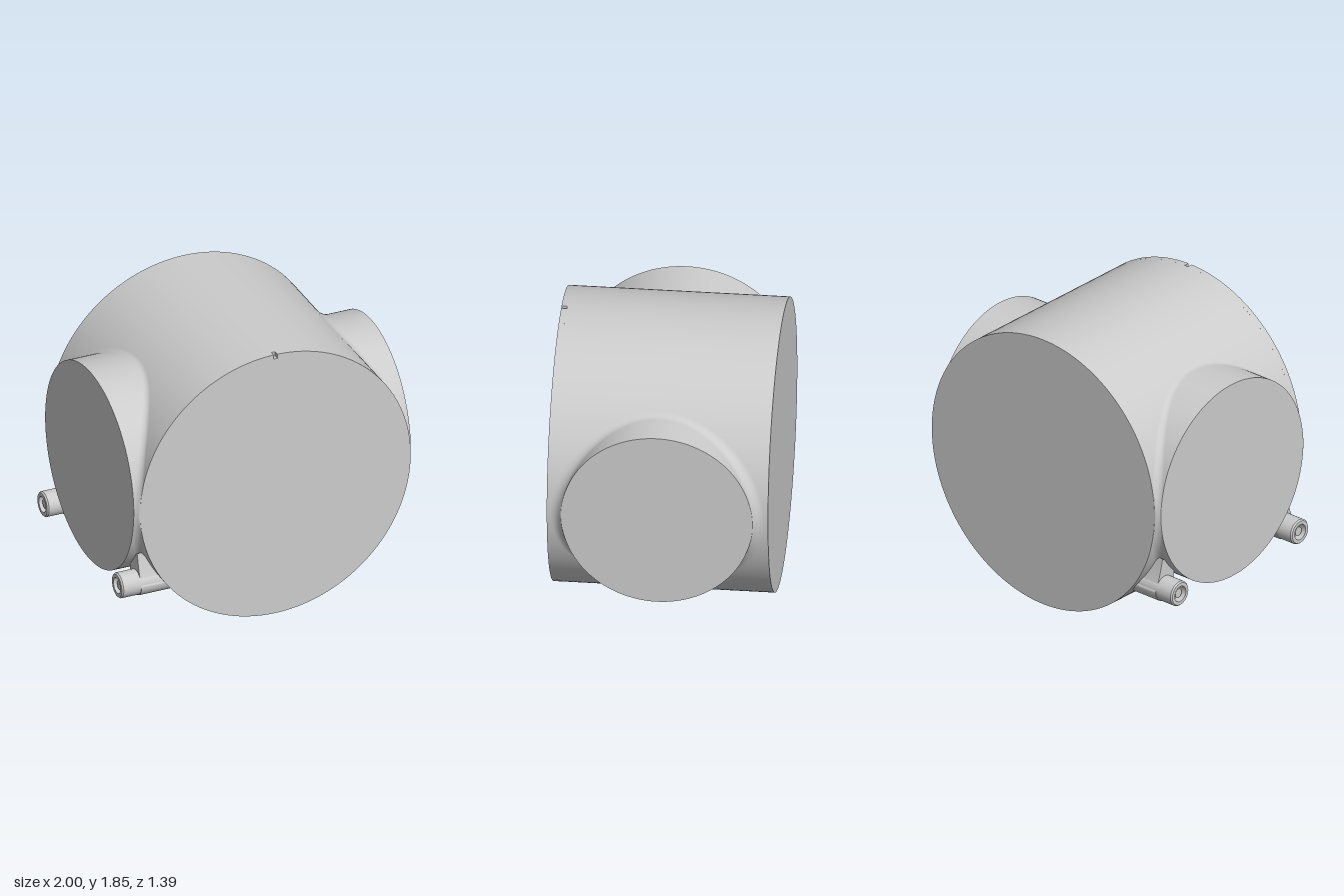
import * as THREE from 'three';

const R = 0.927, CX = 0.03, CY = 0.928, HALF = 0.695; // main drum
const NOTCH_DEPTH = 0.035;
const mat = new THREE.MeshStandardMaterial({ color: 0xcccccc });

function add(parent, name, geometry, x = 0, y = 0, z = 0) {
  const mesh = new THREE.Mesh(geometry, mat);
  mesh.name = name;
  mesh.position.set(x, y, z);
  parent.add(mesh);
  return mesh;
}

// Rolling-ball blend between the drum and a side port (side = +1 or -1 along x)
function blendGeometry(side, P, r, xEnd, around = 128, steps = 8) {
  const pos = [], index = [];
  for (let i = 0; i <= around; i++) {
    const t = (i / around) * Math.PI * 2;
    const y = (P + r) * Math.sin(t), z = (P + r) * Math.cos(t);
    const x = Math.sqrt((R + r) ** 2 - y * y);
    const toPort = new THREE.Vector3(0, -Math.sin(t), -Math.cos(t));
    const toDrum = new THREE.Vector3(-x, -y, 0).normalize();
    for (let k = 0; k <= steps; k++) {
      const d = toPort.clone().lerp(toDrum, k / steps).normalize().multiplyScalar(r);
      const outward = side * CX + x + d.x;
      pos.push(
        side * Math.min(outward, xEnd),
        CY + y + d.y,
        THREE.MathUtils.clamp(z + d.z, -HALF + 0.001, HALF - 0.001));
    }
  }
  const row = steps + 1;
  for (let i = 0; i < around; i++) for (let k = 0; k < steps; k++) {
    const a = i * row + k, b = a + row, c = a + 1, d = b + 1;
    if (side > 0) index.push(a, b, c, b, d, c);
    else index.push(a, c, b, b, c, d);
  }
  const g = new THREE.BufferGeometry();
  g.setAttribute('position', new THREE.Float32BufferAttribute(pos, 3));
  g.setIndex(index);
  g.computeVertexNormals();
  return g;
}

// Round flat-ended port with its blend
function addPort(parent, name, side, radius, xEnd, fillet) {
  const port = new THREE.Group();
  port.name = name;
  const inner = 0.4;
  const g = new THREE.CylinderGeometry(radius, radius, xEnd - inner, 128).rotateZ(Math.PI / 2);
  add(port, name + 'Body', g, side * (xEnd + inner) / 2, CY, 0);
  add(port, name + 'Blend', blendGeometry(side, radius, fillet, xEnd));
  parent.add(port);
}

export function createModel() {
  const model = new THREE.Group();
  model.name = 'drumHousing';

  // Drum
  const length = 2 * HALF - NOTCH_DEPTH;
  add(model, 'drum', new THREE.CylinderGeometry(R, R, length, 160).rotateX(Math.PI / 2), CX, CY, -NOTCH_DEPTH / 2);

  // Front slice of the drum with a small locating notch at the top
  const w = 0.013, a = Math.asin(w / R);
  const face = new THREE.Shape();
  face.absarc(0, 0, R, Math.PI / 2 + a, Math.PI * 2.5 - a, false);
  face.lineTo(w, R - 0.03);
  face.lineTo(-w, R - 0.03);
  face.closePath();
  const slice = new THREE.ExtrudeGeometry(face, { depth: NOTCH_DEPTH, bevelEnabled: false, curveSegments: 160 });
  // Radial normals on the rim keep it smooth
  const p = slice.attributes.position, n = slice.attributes.normal;
  for (let i = 0; i < p.count; i++) {
    const l = Math.hypot(p.getX(i), p.getY(i));
    if (Math.abs(n.getZ(i)) < 0.5 && l > R - 0.001 && Math.abs(p.getX(i)) > w + 0.001)
      n.setXYZ(i, p.getX(i) / l, p.getY(i) / l, 0);
  }
  add(model, 'notchedFrontRim', slice, CX, CY, HALF - NOTCH_DEPTH);

  // Side ports
  addPort(model, 'leftPort', 1, 0.6, 0.998, 0.07);
  addPort(model, 'rightPort', -1, 0.673, 0.932, 0.05);

  // Small hollow fittings beside the larger port
  const tubeProfile = [
    [0.083, 0], [0.083, 0.4], [0.083, 0.4], [0.075, 0.41], [0.075, 0.41], [0.052, 0.41],
    [0.052, 0.41], [0.052, 0.36], [0.052, 0.36], [0.03, 0.36], [0.03, 0.36],
    [0.03, 0.395], [0.03, 0.395], [0, 0.395],
  ].map(([r, h]) => new THREE.Vector2(r, h));

  for (const s of [1, -1]) {
    const fitting = new THREE.Group();
    fitting.name = s > 0 ? 'frontFitting' : 'backFitting';
    add(fitting, 'fittingTube', new THREE.LatheGeometry(tubeProfile, 40).rotateZ(Math.PI / 2), -0.59);

    // Boss whose outer side sweeps in to meet the port
    const boss = new THREE.Shape();
    boss.moveTo(-0.088 * s, 0.12);
    boss.lineTo(-0.088 * s, 0);
    boss.absarc(0, 0, 0.088, s > 0 ? Math.PI : 0, s > 0 ? Math.PI * 2 : Math.PI, s < 0);
    boss.quadraticCurveTo(0.05 * s, 0.07, 0.02 * s, 0.21);
    boss.closePath();
    const g = new THREE.ExtrudeGeometry(boss, { depth: 0.37, bevelEnabled: false, curveSegments: 24 });
    add(fitting, 'fittingBoss', g.rotateY(-Math.PI / 2), -0.5);
    fitting.position.set(0, 0.37, s * 0.567);
    model.add(fitting);
  }
  return model;
}
